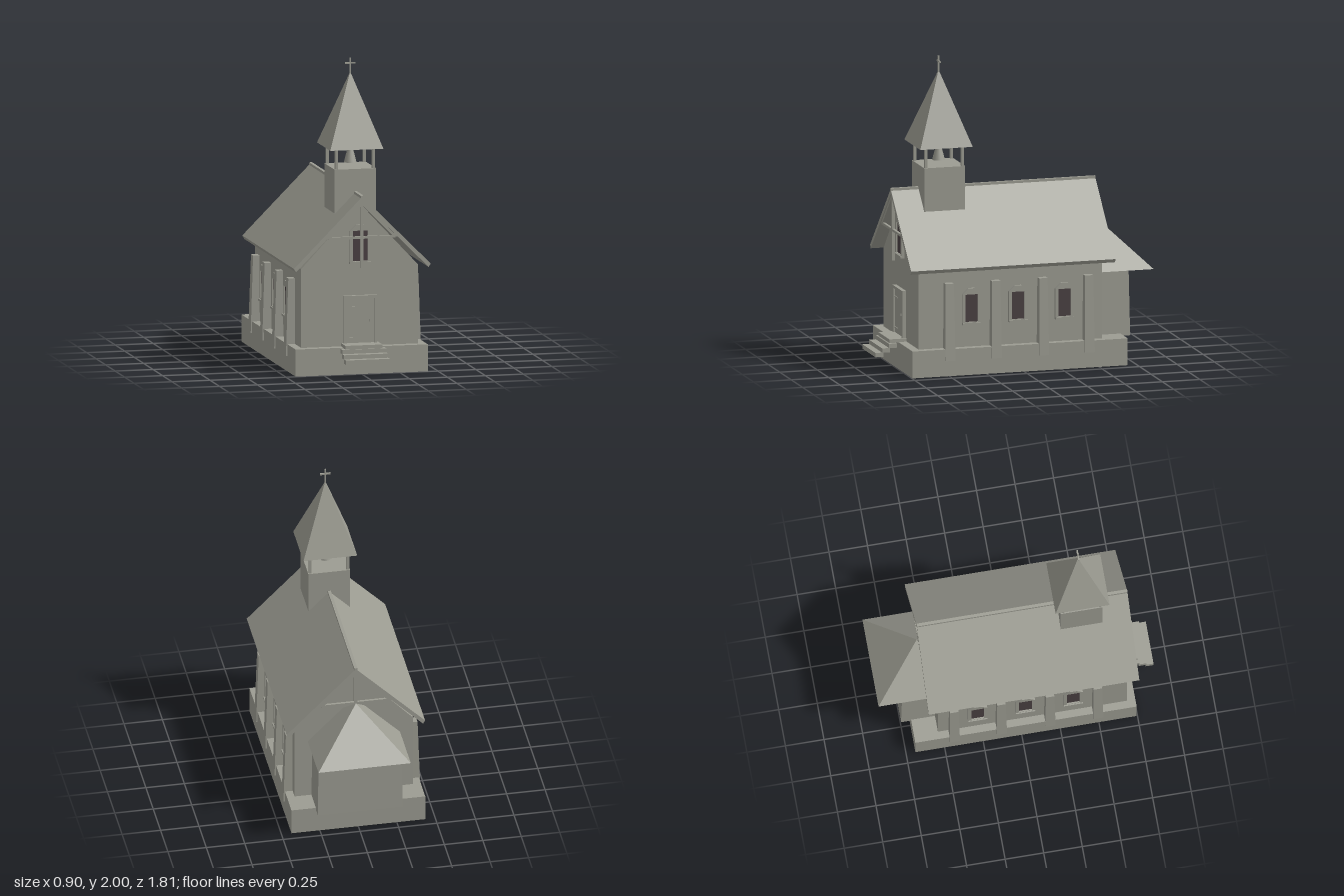
import * as THREE from 'three';

const stone = new THREE.MeshStandardMaterial({ color: 0x9c9c92 });
stone.name = 'stone grey';
const dark = new THREE.MeshStandardMaterial({ color: 0x4a4042 });
dark.name = 'dark glass';

function add(parent, name, geometry, material = stone) {
  const mesh = new THREE.Mesh(geometry, material);
  mesh.name = name;
  parent.add(mesh);
  return mesh;
}

// Box given by its limits on each axis
function box(parent, name, [x0, x1], [y0, y1], [z0, z1], material) {
  const g = new THREE.BoxGeometry(x1 - x0, y1 - y0, z1 - z0);
  g.translate((x0 + x1) / 2, (y0 + y1) / 2, (z0 + z1) / 2);
  return add(parent, name, g, material);
}

const shapeOf = (pts) => new THREE.Shape(pts.map(([x, y]) => new THREE.Vector2(x, y)));

// Outline in x and y, drawn along z
function prism(parent, name, pts, z0, z1, hole) {
  const s = shapeOf(pts);
  if (hole) s.holes.push(new THREE.Path(hole.map(([x, y]) => new THREE.Vector2(x, y))));
  const g = new THREE.ExtrudeGeometry(s, { depth: z1 - z0, bevelEnabled: false });
  g.translate(0, 0, z0);
  return add(parent, name, g);
}

// Four-sided pyramid with sides along x and z
function pyramid(parent, name, half, y0, y1, z) {
  const g = new THREE.ConeGeometry(half * Math.SQRT2, y1 - y0, 4).rotateY(Math.PI / 4).toNonIndexed();
  g.computeVertexNormals();
  g.translate(0, (y0 + y1) / 2, z);
  return add(parent, name, g);
}

// Box whose top corners are moved by a rule
function tapered(size, rule) {
  const g = new THREE.BoxGeometry(...size).toNonIndexed();
  const p = g.attributes.position;
  for (let i = 0; i < p.count; i++) {
    if (p.getY(i) > 0) p.setXYZ(i, ...rule(p.getX(i), p.getY(i), p.getZ(i)));
  }
  g.computeVertexNormals();
  return g;
}

// Pointed window facing +z: raised frame, pane and sill, base at y = 0
function makeWindow(name, w, h, glassW, glassBottom, glassTop) {
  const g = new THREE.Group();
  g.name = name;
  const s = h - w * 0.6;
  prism(g, 'windowFrame',
    [[-w, 0], [w, 0], [w, s], [w * 0.35, h], [-w * 0.35, h], [-w, s]], -0.01, 0.018,
    [[-glassW, glassBottom], [-glassW, glassTop], [glassW, glassTop], [glassW, glassBottom]]);
  box(g, 'windowPane', [-glassW, glassW], [glassBottom, glassTop], [0.001, 0.008], dark);
  box(g, 'windowSill', [-w, w], [0, 0.014], [0, 0.026]);
  return g;
}

export function createModel() {
  const model = new THREE.Group();
  model.name = 'chapel';

  // Plinth and nave
  box(model, 'plinth', [-0.435, 0.435], [0, 0.175], [-0.69, 0.745]);
  prism(model, 'naveWalls', [[-0.385, 0.17], [0.385, 0.17], [0.385, 0.685], [0, 1.095], [-0.385, 0.685]], -0.535, 0.69);

  // Main roof with ridge cap
  prism(model, 'roof',
    [[0, 1.15], [-0.45, 0.7], [-0.437, 0.677], [0, 1.117], [0.437, 0.677], [0.45, 0.7]], -0.605, 0.76);
  box(model, 'ridgeCap', [-0.01, 0.01], [1.135, 1.156], [-0.605, 0.76]);

  // Timber truss in each gable
  for (const z of [0.745, -0.59]) {
    const truss = new THREE.Group();
    truss.name = 'gableTruss';
    model.add(truss);
    box(truss, 'kingPost', [-0.01, 0.01], [0.685, 1.125], [z - 0.01, z + 0.01]);
    box(truss, 'tieBeam', [-0.22, 0.22], [0.876, 0.892], [z - 0.008, z + 0.008]);
    prism(truss, 'rafters',
      [[0, 1.12], [-0.235, 0.882], [-0.21, 0.882], [0, 1.095], [0.21, 0.882], [0.235, 0.882]], z - 0.008, z + 0.008);
  }

  // Buttresses and windows along both sides
  for (const side of [1, -1]) {
    for (const z of [0.495, 0.185, -0.13, -0.435]) {
      const g = tapered([0.07, 0.5, 0.066], (x, y, zz) => [x > 0 ? x - 0.017 : x, y, zz * 0.84]);
      const b = add(model, 'buttress', g);
      b.position.set(side * 0.41, 0.35, z);
      if (side < 0) b.rotation.y = Math.PI;
    }
    for (const z of [0.34, 0.03, -0.28]) {
      const w = makeWindow('sideWindow', 0.062, 0.237, 0.042, 0.018, 0.197);
      w.position.set(side * 0.385, 0.32, z);
      w.rotation.y = side * Math.PI / 2;
      model.add(w);
    }
  }

  // Gable window
  const front = makeWindow('gableWindow', 0.07, 0.253, 0.05, 0.017, 0.214);
  front.position.set(0, 0.708, 0.69);
  model.add(front);

  // Door with frame, hinges and handle
  const door = new THREE.Group();
  door.name = 'door';
  model.add(door);
  prism(door, 'doorFrame',
    [[-0.108, 0.175], [-0.09, 0.175], [-0.09, 0.485], [0.09, 0.485], [0.09, 0.175], [0.108, 0.175], [0.108, 0.503], [-0.108, 0.503]],
    0.685, 0.715);
  box(door, 'doorLeaf', [-0.09, 0.09], [0.19, 0.485], [0.685, 0.703]);
  for (const y of [0.43, 0.23]) box(door, 'hinge', [-0.09, -0.035], [y - 0.004, y + 0.004], [0.7, 0.708]);
  box(door, 'doorHandle', [0.058, 0.07], [0.333, 0.348], [0.7, 0.714]);

  // Entrance steps
  box(model, 'doorstep', [-0.122, 0.122], [0.172, 0.196], [0.69, 0.805]);
  for (let i = 0; i < 3; i++) {
    const z = 0.905 - i * 0.045;
    const y = 0.09 + i * 0.027;
    box(model, 'step', [-0.145, 0.145], [y, y + 0.028], [z - 0.052, z]);
  }

  // Apse behind the nave
  const apse = add(model, 'apseWalls', tapered([0.552, 0.43, 0.255],
    (x, y, z) => [x * 0.975, y, z < 0 ? z + 0.008 : z]));
  apse.position.set(0, 0.375, -0.6275);
  pyramid(model, 'apseRoof', 0.3, 0.587, 0.887, -0.605);

  // Bell tower
  const tower = new THREE.Group();
  tower.name = 'bellTower';
  tower.position.z = 0.44;
  model.add(tower);
  box(tower, 'towerBase', [-0.136, 0.136], [1.017, 1.3], [-0.136, 0.136]);
  for (const x of [-0.122, 0.122]) {
    for (const z of [-0.122, 0.122]) {
      box(tower, 'towerPost', [x - 0.009, x + 0.009], [1.3, 1.432], [z - 0.009, z + 0.009]);
    }
  }
  pyramid(tower, 'spire', 0.175, 1.43, 1.91, 0);
  add(tower, 'bell', new THREE.CylinderGeometry(0.02, 0.041, 0.08, 16)).position.y = 1.364;
  add(tower, 'bellHanger', new THREE.CylinderGeometry(0.003, 0.003, 0.03, 6)).position.y = 1.417;
  box(tower, 'crossUpright', [-0.005, 0.005], [1.895, 2], [-0.005, 0.005]);
  box(tower, 'crossArm', [-0.034, 0.034], [1.96, 1.97], [-0.005, 0.005]);

  return model;
}
